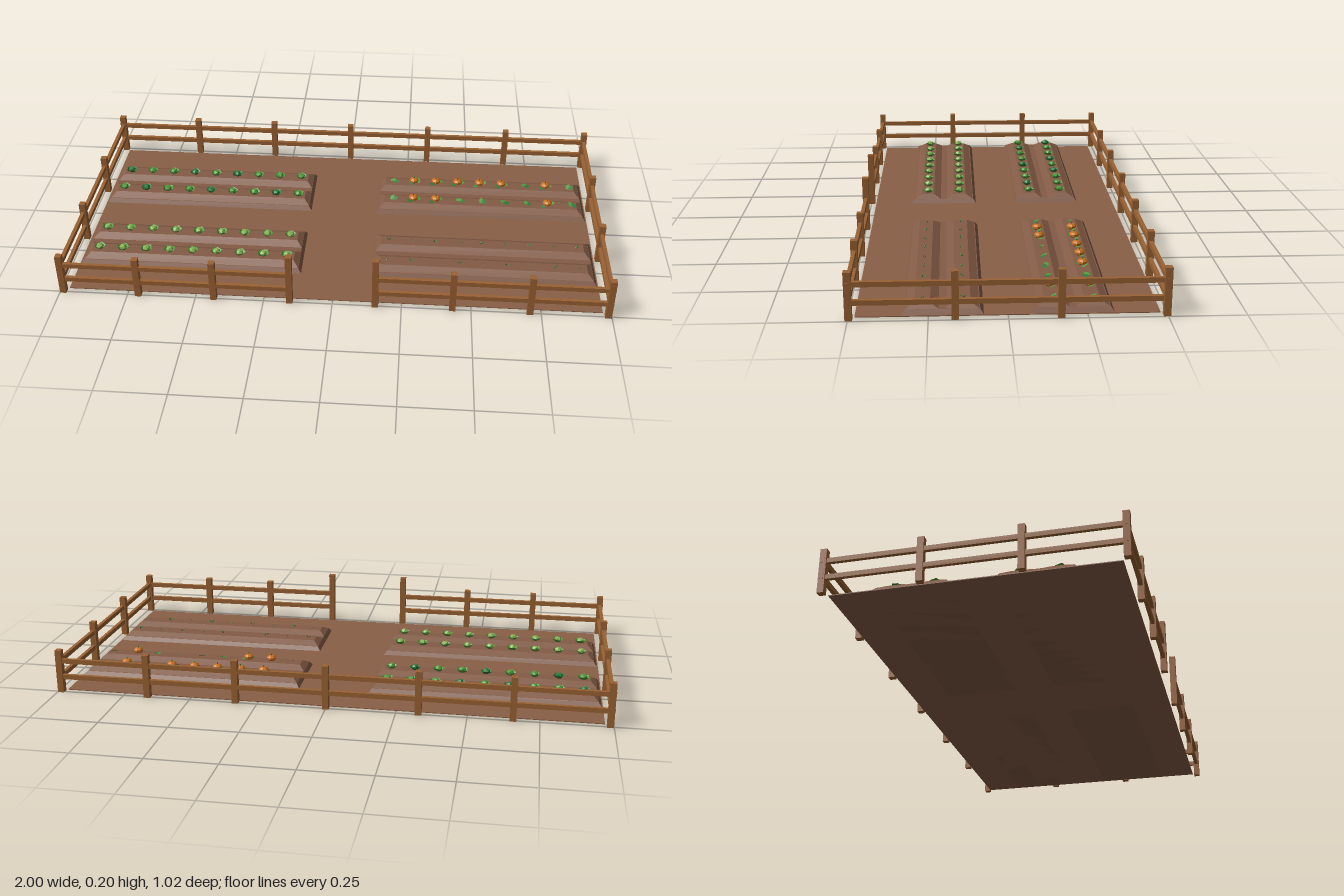
import * as THREE from 'three';

const mat = (name, color, extra = {}) => {
  const m = new THREE.MeshStandardMaterial({ color, flatShading: true, ...extra });
  m.name = name;
  return m;
};

export function createModel() {
  const model = new THREE.Group();
  model.name = 'vegetableGarden';

  const soil = mat('soil', 0x8a5f46);
  const bedSoil = mat('bedSoil', 0x835b45);
  const wood = mat('wood', 0x9a6233);
  const darkLeaf = mat('darkLeaf', 0x2f7a3c, { side: THREE.DoubleSide });
  const leaf = mat('leaf', 0x529a3c, { side: THREE.DoubleSide });
  const paleLeaf = mat('paleLeaf', 0x86b455, { side: THREE.DoubleSide });
  const orange = mat('pumpkinOrange', 0xc8701e);

  const add = (parent, name, geo, material, x = 0, y = 0, z = 0) => {
    const m = new THREE.Mesh(geo, material);
    m.name = name;
    m.position.set(x, y, z);
    parent.add(m);
    return m;
  };
  const group = (name, parent, x = 0, y = 0, z = 0) => {
    const g = new THREE.Group();
    g.name = name;
    g.position.set(x, y, z);
    parent.add(g);
    return g;
  };
  // Box standing on y = 0 whose top is pulled in on both axes
  const frustum = (w, h, d, inX, inZ) => {
    const g = new THREE.BoxGeometry(w, h, d).translate(0, h / 2, 0);
    const p = g.attributes.position;
    for (let i = 0; i < p.count; i++) {
      if (p.getY(i) < h / 2) continue;
      p.setX(i, p.getX(i) - Math.sign(p.getX(i)) * inX);
      p.setZ(i, p.getZ(i) - Math.sign(p.getZ(i)) * inZ);
    }
    g.computeVertexNormals();
    return g;
  };

  // Ground
  add(model, 'ground', new THREE.BoxGeometry(1.94, 0.003, 0.96), soil, 0, 0.0015, 0);

  // Fence
  const FX = 0.987, FZ = 0.497, GATE = 0.155;
  const fence = group('fence', model);
  const post = (x, z, h = 0.162, name = 'fencePost') =>
    add(fence, name, new THREE.BoxGeometry(0.023, h, 0.023), wood, x, h / 2, z);
  const rails = (x0, z0, x1, z1) => {
    for (const y of [0.059, 0.12]) {
      const w = Math.abs(x1 - x0) || 0.013, d = Math.abs(z1 - z0) || 0.013;
      add(fence, 'fenceRail', new THREE.BoxGeometry(w, 0.017, d), wood, (x0 + x1) / 2, y, (z0 + z1) / 2);
    }
  };
  for (let i = 0; i <= 6; i++) post(-FX + (i * FX) / 3, -FZ);
  rails(-FX - 0.013, -FZ, FX + 0.013, -FZ);
  for (const s of [-1, 1]) {
    for (const z of [-FZ / 3, FZ / 3]) post(s * FX, z);
    rails(s * FX, -FZ - 0.012, s * FX, FZ + 0.012);
    for (let i = 0; i < 3; i++) post(s * (FX - (i * (FX - GATE)) / 3), FZ);
    post(s * GATE, FZ, 0.205, 'gatePost');
    rails(s * (FX + 0.013), FZ, s * GATE, FZ);
  }

  // Planting beds: a low base with two ridges
  const BX = 0.548, BZ = 0.206, ROW = 0.064, TOP = 0.033;
  const bedAt = (name, sx, sz) => {
    const bed = group(name, model, sx * BX, 0, sz * BZ);
    add(bed, 'bedBase', frustum(0.84, 0.018, 0.264, 0.013, 0.013), bedSoil);
    for (const s of [-1, 1])
      add(bed, 'bedRidge', frustum(0.812, TOP - 0.018, 0.104, 0.02, 0.027), bedSoil, 0, 0.018, s * ROW);
    return bed;
  };

  // Plants
  const headGeo = new THREE.IcosahedronGeometry(0.015, 0).scale(1, 0.8, 1);
  const collarGeo = new THREE.CylinderGeometry(0.022, 0.01, 0.014, 6, 1, true);
  const collarPos = collarGeo.attributes.position;
  for (let i = 0; i < collarPos.count; i++)
    if (collarPos.getY(i) > 0 && i % 2) collarPos.setY(i, 0.002);
  const cabbage = (bed, x, z, outer, inner, turn) => {
    const g = group('cabbage', bed, x, TOP, z);
    g.rotation.y = turn;
    add(g, 'outerLeaves', collarGeo, outer, 0, 0.006, 0);
    add(g, 'cabbageHead', headGeo, inner, 0, 0.009, 0);
  };

  const pumpkinGeo = new THREE.SphereGeometry(0.019, 8, 5).scale(1, 0.62, 1);
  const stemGeo = new THREE.CylinderGeometry(0.002, 0.003, 0.007, 5);
  const vineGeo = new THREE.CircleGeometry(0.011, 5).rotateX(-Math.PI / 2).scale(1.3, 1, 0.8);
  const pumpkin = (bed, x, z, ripe, turn) => {
    const g = group('pumpkinPlant', bed, x, TOP, z);
    const offsets = ripe ? [[-0.014, 0.012], [0.018, -0.006]] : [[0.016, 0.002], [0.004, -0.004]];
    offsets.forEach(([dx, dz], i) => {
      const v = add(g, 'vineLeaf', vineGeo, i ? leaf : darkLeaf, dx, 0.004 + i * 0.002, dz);
      v.rotation.set(0.25, turn, 0.2);
    });
    if (!ripe) return;
    add(g, 'pumpkin', pumpkinGeo, orange, 0, 0.0115, 0);
    add(g, 'pumpkinStem', stemGeo, darkLeaf, 0, 0.0245, 0);
  };

  const sproutGeo = new THREE.ConeGeometry(0.003, 0.012, 4).rotateX(Math.PI).translate(0, 0.006, 0);
  const sprout = (bed, x, z, size, turn) => {
    const g = group('sprout', bed, x, TOP, z);
    g.rotation.y = turn;
    g.scale.setScalar(size);
    for (const s of [-1, 1]) {
      const m = add(g, 'sproutLeaf', sproutGeo, s > 0 ? leaf : darkLeaf);
      m.rotation.z = s * 0.6;
    }
  };

  // Fill the beds, nine plants to a row
  const backLeft = bedAt('darkCabbageBed', -1, -1);
  const frontLeft = bedAt('paleCabbageBed', -1, 1);
  const pumpkins = bedAt('pumpkinBed', 1, -1);
  const sprouts = bedAt('sproutBed', 1, 1);
  const darkOnes = [[0, 3, 5], [1, 4, 7]];
  const ripeOnes = [[1, 2, 3, 4, 5, 7], [1, 2, 7]];
  for (let r = 0; r < 2; r++) {
    const z = (r ? 1 : -1) * ROW;
    for (let i = 0; i < 9; i++) {
      const x = (i - 4) * 0.0896, turn = i * 1.7 + r;
      const dark = darkOnes[r].includes(i);
      cabbage(backLeft, x, z, dark ? darkLeaf : leaf, dark ? darkLeaf : leaf, turn);
      cabbage(frontLeft, x, z, leaf, paleLeaf, turn);
      pumpkin(pumpkins, x, z, ripeOnes[r].includes(i), turn);
      sprout(sprouts, x, z, (i + r) % 2 ? 0.7 : 1, turn);
    }
  }
  return model;
}
